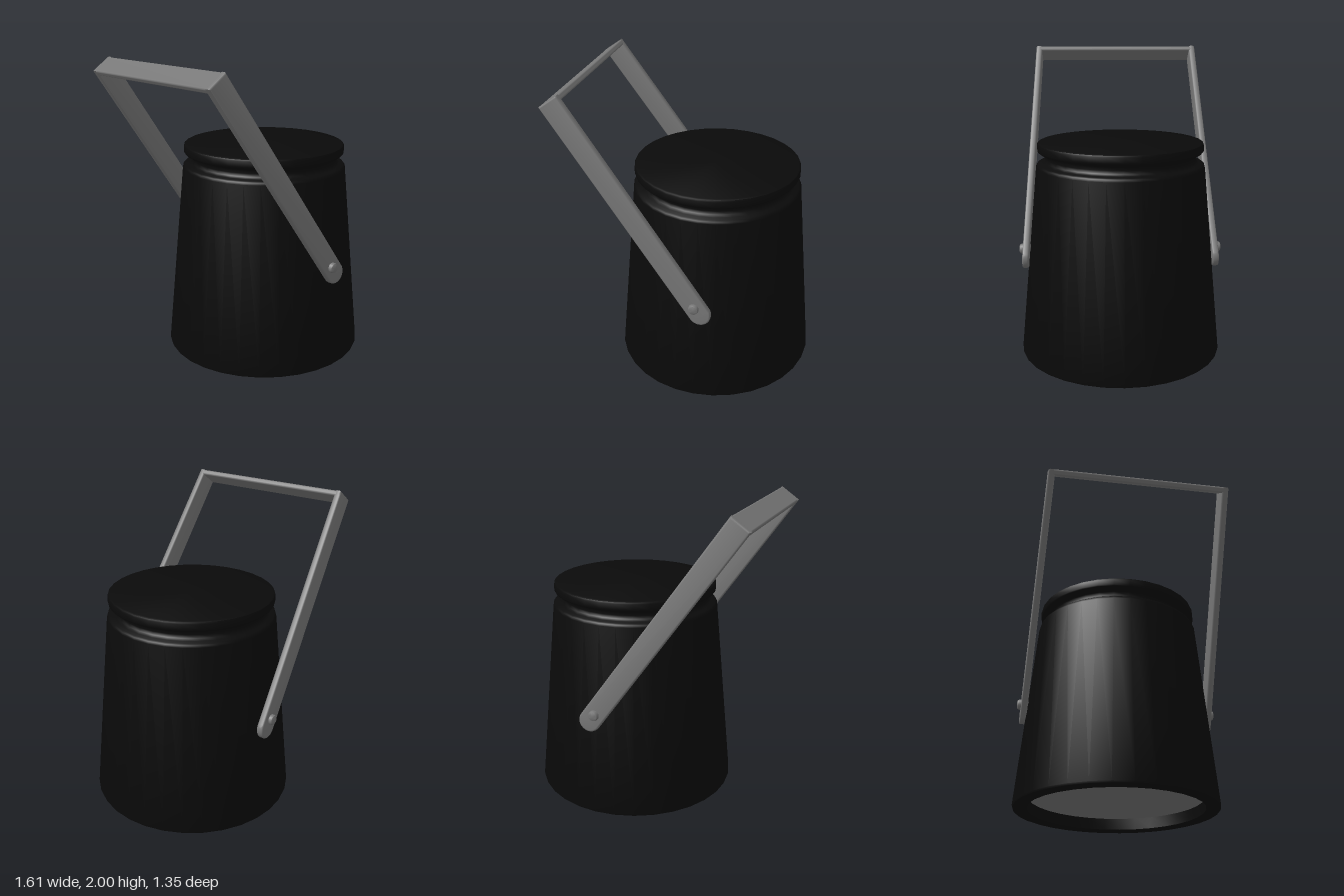
import * as THREE from 'three';
import { toCreasedNormals } from 'three/addons/utils/BufferGeometryUtils.js';
import { RoundedBoxGeometry } from 'three/addons/geometries/RoundedBoxGeometry.js';

const BODY_X = 0.135;
const black = new THREE.MeshStandardMaterial({ color: 0x0a0a0a });
const grey = new THREE.MeshStandardMaterial({ color: 0x777777 });

function add(parent, name, geometry, material) {
  const mesh = new THREE.Mesh(geometry, material);
  mesh.name = name;
  parent.add(mesh);
  return mesh;
}

function lathe(points, sides) {
  const profile = points.map(([r, y]) => new THREE.Vector2(r, y));
  return toCreasedNormals(new THREE.LatheGeometry(profile, sides), 0.7);
}

// Flat strip with a round lower end, leaning inwards towards the top
function armGeometry(side) {
  const bevel = 0.012, length = 1.603, thickness = 0.044;
  const r = 0.072 - bevel;
  const shape = new THREE.Shape();
  shape.moveTo(r, 0);
  shape.lineTo(r, length - bevel);
  shape.lineTo(-r, length - bevel);
  shape.lineTo(-r, 0);
  shape.absarc(0, 0, r, Math.PI, Math.PI * 2, false);
  const geo = new THREE.ExtrudeGeometry(shape, {
    depth: thickness - 2 * bevel, bevelThickness: bevel, bevelSize: bevel,
    bevelSegments: 3, curveSegments: 12,
  });
  geo.translate(0, 0, bevel - thickness / 2);
  const p = geo.attributes.position;
  for (let i = 0; i < p.count; i++) {
    p.setZ(i, p.getZ(i) + side * (0.63 - 0.067 * p.getY(i) / length));
  }
  return toCreasedNormals(geo, 0.7);
}

export function createModel() {
  const model = new THREE.Group();
  model.name = 'lidded pail';

  // Tapered body with recessed foot, neck groove and lid rim
  const body = add(model, 'body', lathe([
    [0.575, 0.085], [0.575, 0.008], [0.583, 0], [0.655, 0], [0.666, 0.004], [0.67, 0.015],
    [0.552, 1.26], [0.548, 1.274], [0.538, 1.282],
    [0.512, 1.286], [0.497, 1.297], [0.491, 1.318], [0.497, 1.34], [0.512, 1.352],
    [0.53, 1.354], [0.539, 1.361], [0.542, 1.37],
    [0.542, 1.405], [0.538, 1.415], [0.528, 1.42], [0, 1.42],
  ], 32), black);
  body.position.x = BODY_X;

  // Base plate set up inside the foot
  const base = add(model, 'basePlate', new THREE.CircleGeometry(0.575, 32), grey);
  base.rotation.x = Math.PI / 2;
  base.position.set(BODY_X, 0.085, 0);

  // Tilted carrying handle
  const handle = new THREE.Group();
  handle.name = 'handle';
  handle.position.set(0.17, 0.647, 0);
  handle.rotation.z = THREE.MathUtils.degToRad(35);
  model.add(handle);
  const grip = add(handle, 'grip', new RoundedBoxGeometry(0.144, 0.037, 1.17, 3, 0.011), grey);
  grip.position.y = 1.603 - 0.0185;

  for (const side of [1, -1]) {
    const label = side > 0 ? 'front' : 'back';
    add(handle, label + 'Arm', armGeometry(side), grey);

    // Rivet joining the arm to the body
    const rivet = add(model, label + 'Rivet', lathe([
      [0.034, 0], [0.034, 0.062], [0.03, 0.071], [0.021, 0.075], [0, 0.076],
    ], 16), grey);
    rivet.rotation.x = side * Math.PI / 2;
    rivet.position.set(BODY_X, 0.695, side * 0.6);
  }
  return model;
}
